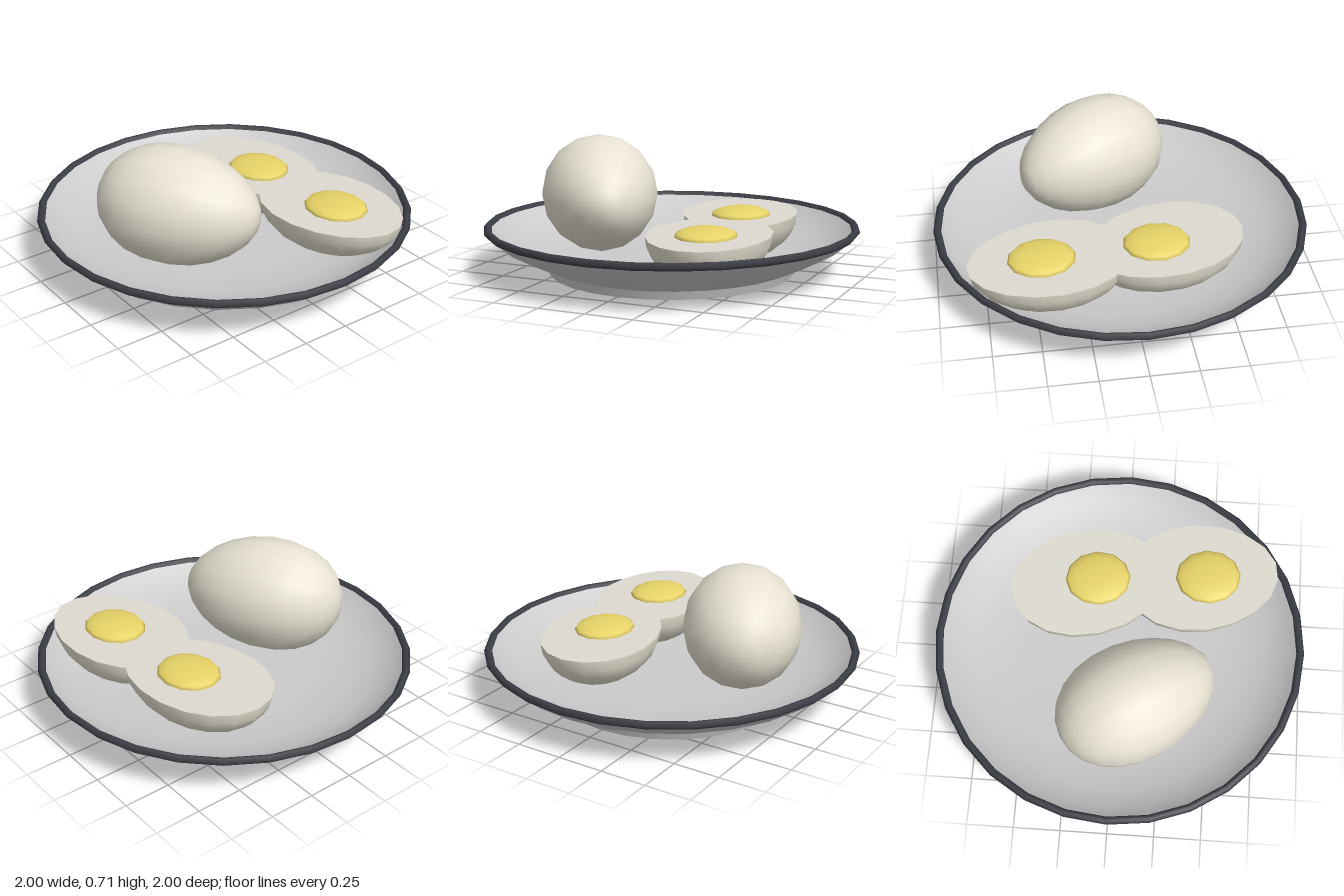
import * as THREE from 'three';
import { mergeVertices } from 'three/addons/utils/BufferGeometryUtils.js';

const plateMat = new THREE.MeshStandardMaterial({ color: 0xcccccc });
const rimMat = new THREE.MeshStandardMaterial({ color: 0x3c3e46 });
const eggMat = new THREE.MeshStandardMaterial({ color: 0xe8e3d3 });
const cutMat = new THREE.MeshStandardMaterial({ color: 0xdedad0 });
const yolkMat = new THREE.MeshStandardMaterial({ color: 0xe8d468 });

function add(parent, name, geometry, material) {
  const mesh = new THREE.Mesh(geometry, material);
  mesh.name = name;
  parent.add(mesh);
  return mesh;
}

// Revolved strip; the profile runs counter-clockwise around the solid
function ring(parent, name, profile, material) {
  const points = profile.map(([r, y]) => new THREE.Vector2(r, y));
  return add(parent, name, new THREE.LatheGeometry(points, 28), material);
}

// Scale a unit shape to egg size and narrow it towards +z
function eggShape(geometry, width, height, length, taper) {
  const p = geometry.attributes.position;
  for (let i = 0; i < p.count; i++) {
    const k = 1 - taper * p.getZ(i);
    p.setXYZ(i, p.getX(i) * k * width, p.getY(i) * k * height, p.getZ(i) * length);
  }
  geometry.deleteAttribute('uv');
  geometry.deleteAttribute('normal');
  const merged = mergeVertices(geometry, 1e-5);
  merged.computeVertexNormals();
  return merged;
}

function createPlate() {
  const plate = new THREE.Group();
  plate.name = 'plate';
  ring(plate, 'underside', [[0, 0.04], [0.61, 0.04]], plateMat);
  ring(plate, 'footInnerWall', [[0.61, 0.04], [0.63, 0]], plateMat);
  ring(plate, 'footBase', [[0.63, 0], [0.655, 0]], plateMat);
  ring(plate, 'footOuterWall', [[0.655, 0], [0.67, 0.045]], plateMat);
  ring(plate, 'outerSlope', [[0.67, 0.045], [0.79, 0.1], [0.9, 0.157], [0.975, 0.218]], plateMat);
  ring(plate, 'rim', [[0.975, 0.218], [0.985, 0.222], [1, 0.24], [0.985, 0.26], [0.967, 0.257], [0.958, 0.24]], rimMat);
  ring(plate, 'dish', [[0.958, 0.24], [0.9, 0.188], [0.8, 0.14], [0.66, 0.103], [0.45, 0.083], [0, 0.08]], plateMat);
  return plate;
}

// Egg half with its flat cut face up and a yolk dome showing
function createEggHalf({ name, x, z, turn, width, length, yolk }) {
  const half = new THREE.Group();
  half.name = name;
  const body = new THREE.Group();
  body.position.set(x, 0.305, z);
  body.rotation.y = turn;
  half.add(body);
  const bowl = new THREE.SphereGeometry(1, 18, 7, 0, Math.PI * 2, Math.PI / 2, Math.PI / 2);
  add(body, 'eggWhiteBody', eggShape(bowl, width, 0.245, length, 0.06), eggMat);
  const face = new THREE.CircleGeometry(1, 18).rotateX(-Math.PI / 2);
  add(body, 'cutFace', eggShape(face, width, 1, length, 0.06), cutMat);
  const dome = add(half, 'yolk', new THREE.SphereGeometry(1, 12, 8).scale(0.157, 0.04, 0.178), yolkMat);
  dome.position.set(yolk[0], 0.305, yolk[1]);
  dome.rotation.y = 0.12;
  return half;
}

export function createModel() {
  const model = new THREE.Group();
  model.name = 'plateOfEggs';
  model.add(createPlate());

  // Whole egg lying on its side
  const whole = new THREE.SphereGeometry(1, 16, 12).rotateX(Math.PI / 2);
  const egg = add(model, 'wholeEgg', eggShape(whole, 0.31, 0.31, 0.44, 0.1), eggMat);
  egg.position.set(-0.37, 0.405, 0.11);
  egg.rotation.y = 0.53;

  // Two overlapping egg halves
  model.add(createEggHalf({ name: 'backEggHalf', x: 0.32, z: -0.185, turn: 0.25, width: 0.305, length: 0.43, yolk: [0.342, -0.14] }));
  model.add(createEggHalf({ name: 'frontEggHalf', x: 0.388, z: 0.42, turn: 0.15, width: 0.31, length: 0.425, yolk: [0.39, 0.46] }));
  return model;
}
